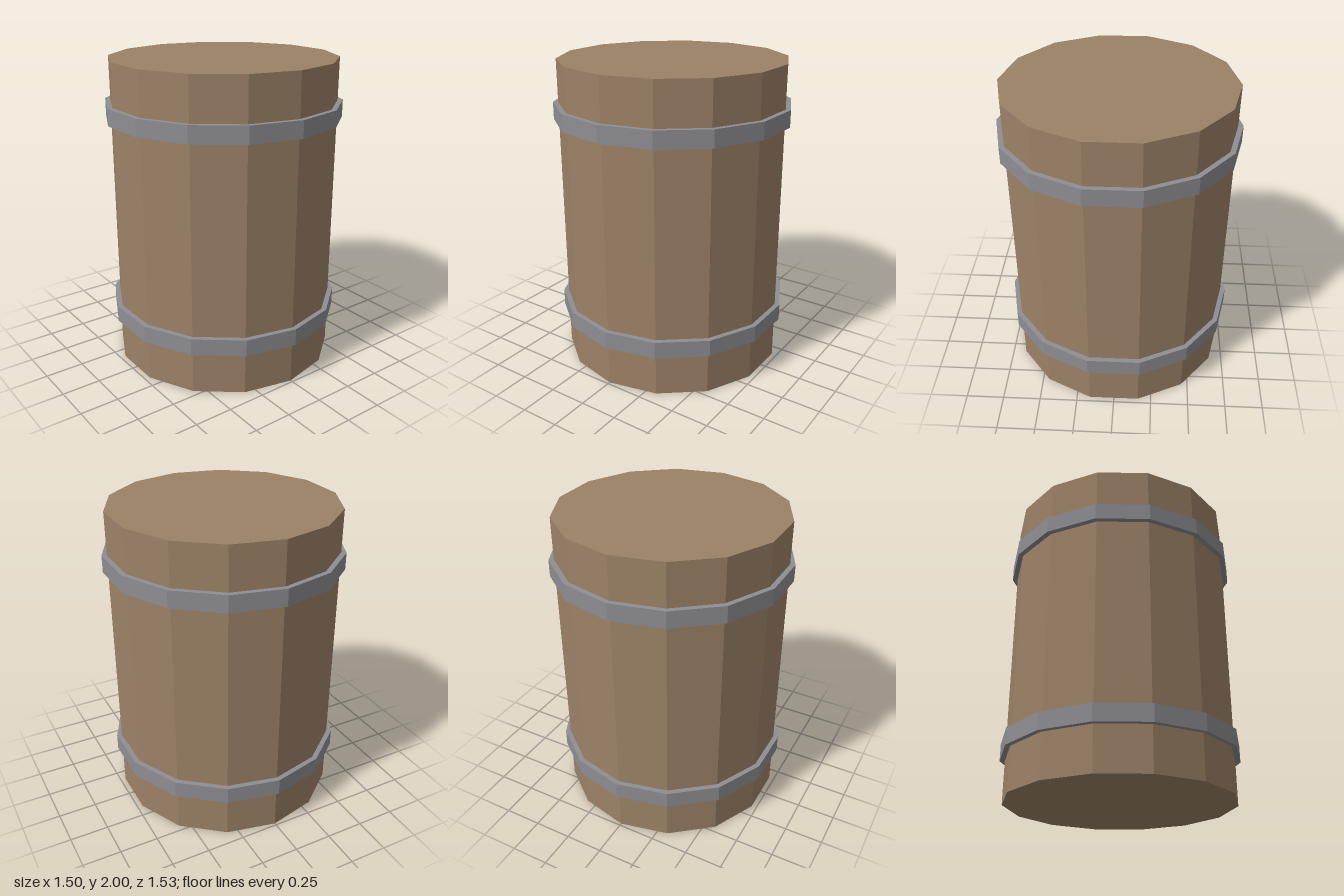
import * as THREE from 'three';

const SIDES = 14;
const BODY_RADIUS = 0.734;
const HOOP_RADIUS = 0.767;

export function createModel() {
  const barrel = new THREE.Group();
  barrel.name = 'barrel';

  const wood = new THREE.MeshStandardMaterial({ color: 0x9c8267, flatShading: true });
  wood.name = 'wood';
  const iron = new THREE.MeshStandardMaterial({ color: 0x8e8e93, flatShading: true });
  iron.name = 'iron';

  // Straight wooden body with closed ends
  const body = new THREE.Mesh(new THREE.CylinderGeometry(BODY_RADIUS, BODY_RADIUS, 2, SIDES), wood);
  body.name = 'body';
  body.position.y = 1;
  barrel.add(body);

  // Iron hoop: bottom lip, outer band and top lip, wrapped round the body
  const half = 0.055;
  const hoopGeometry = new THREE.LatheGeometry([
    new THREE.Vector2(BODY_RADIUS - 0.005, -half),
    new THREE.Vector2(HOOP_RADIUS, -half),
    new THREE.Vector2(HOOP_RADIUS, half),
    new THREE.Vector2(BODY_RADIUS - 0.005, half),
  ], SIDES);

  for (const [name, y] of [['lowerHoop', 0.335], ['upperHoop', 1.67]]) {
    const hoop = new THREE.Mesh(hoopGeometry, iron);
    hoop.name = name;
    hoop.position.y = y;
    barrel.add(hoop);
  }

  return barrel;
}
